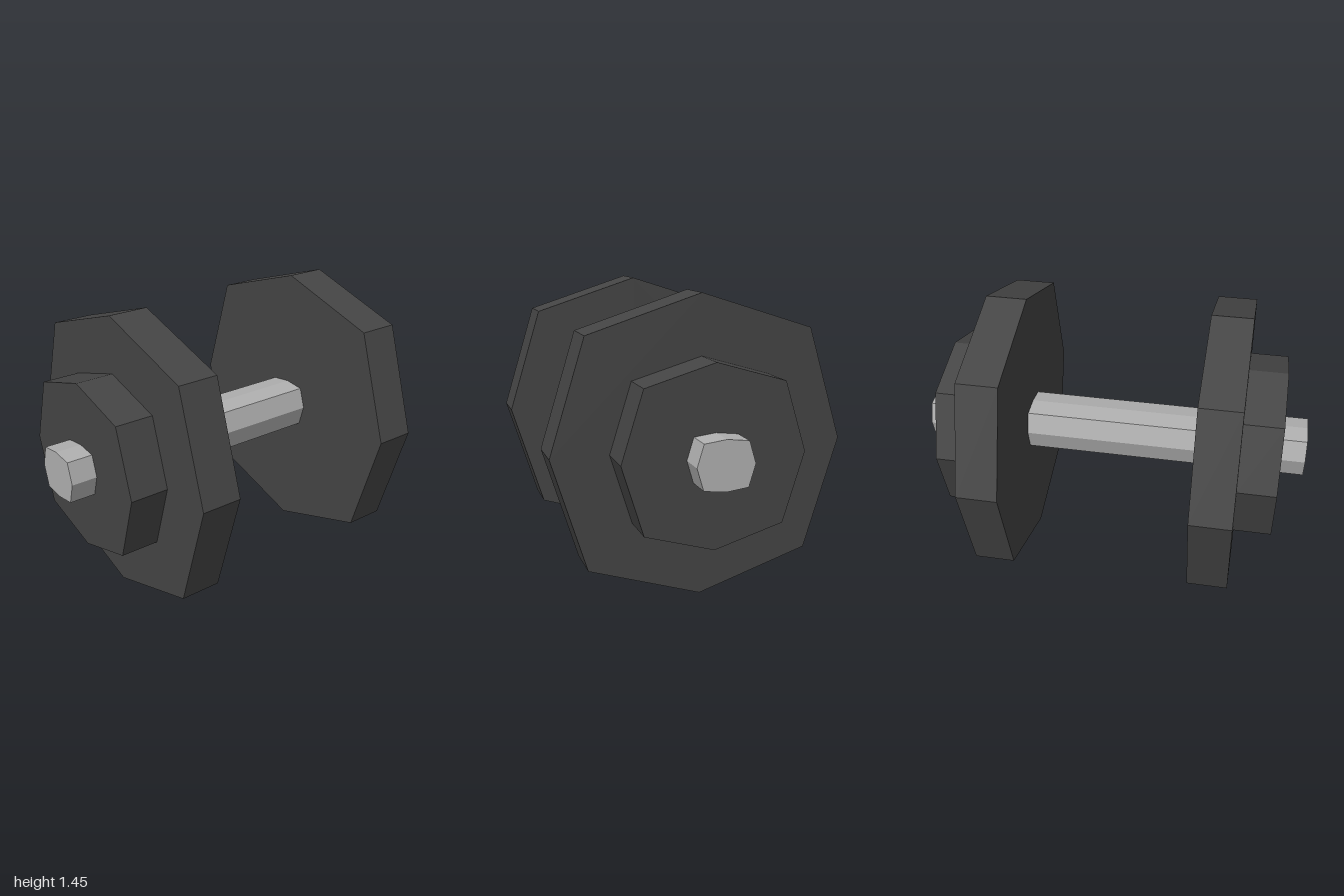
import * as THREE from 'three';

const AXIS_Y = 0.726;

// Octagonal prism along x: half height, half depth and the offset of its diagonal corners
function octagonPrism(halfHeight, halfDepth, corner, x0, x1) {
  const c = corner;
  const shape = new THREE.Shape([
    [halfDepth, 0], [c, c], [0, halfHeight], [-c, c],
    [-halfDepth, 0], [-c, -c], [0, -halfHeight], [c, -c],
  ].map(([x, y]) => new THREE.Vector2(x, y)));
  const geometry = new THREE.ExtrudeGeometry(shape, { depth: x1 - x0, bevelEnabled: false });
  return geometry.rotateY(Math.PI / 2).translate(x0, AXIS_Y, 0);
}

export function createModel() {
  const model = new THREE.Group();
  model.name = 'dumbbell';

  const iron = new THREE.MeshStandardMaterial({ color: 0x454545, flatShading: true });
  iron.name = 'dark iron';
  const steel = new THREE.MeshStandardMaterial({ color: 0xb0b0b0, flatShading: true });
  steel.name = 'light steel';

  function add(name, geometry, material) {
    const mesh = new THREE.Mesh(geometry, material);
    mesh.name = name;
    model.add(mesh);
  }

  // Handle bar running through all the plates
  add('bar', octagonPrism(0.119, 0.138, 0.106, -1, 1), steel);

  // Large inner plate and small outer plate at each end
  for (const [side, s] of [['left', 1], ['right', -1]]) {
    const plate = (h, d, c, near, far) =>
      octagonPrism(h, d, c, Math.min(s * near, s * far), Math.max(s * near, s * far));
    add(side + 'LargePlate', plate(0.726, 0.72, 0.55, 0.463, 0.672), iron);
    add(side + 'SmallPlate', plate(0.436, 0.442, 0.337, 0.672, 0.868), iron);
  }

  return model;
}
